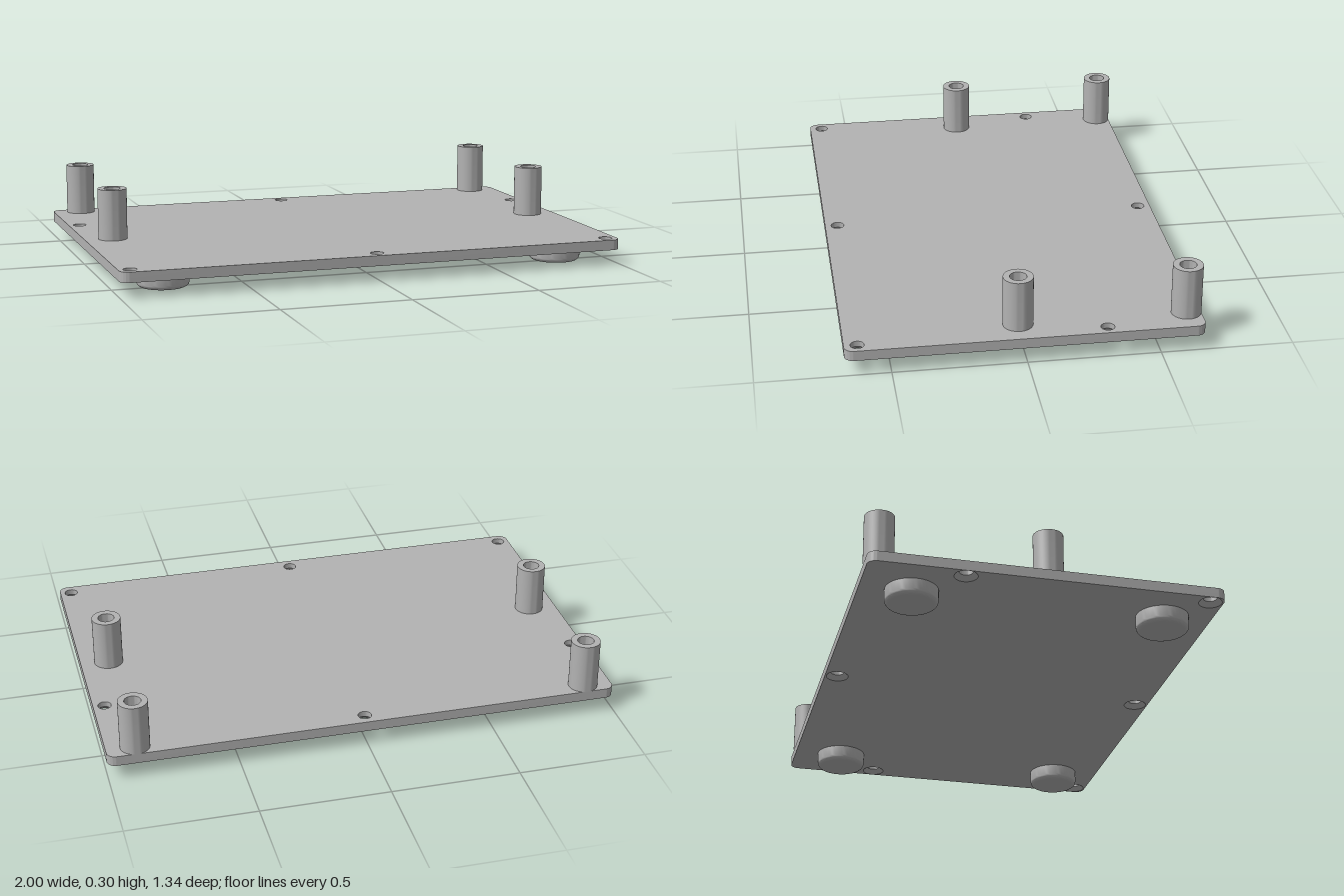
import * as THREE from 'three';
import { toCreasedNormals } from 'three/addons/utils/BufferGeometryUtils.js';

const W = 1, D = 0.67, CORNER = 0.035;      // plate half sizes and corner radius
const BOTTOM = 0.06, TOP = 0.1;             // plate heights
const HOLE = 0.026, SINK = 0.044;           // screw hole and countersink radii
const HOLES = [[0, -0.62], [0, 0.62], [-0.955, -0.305], [0.955, -0.305], [-0.955, 0.62], [0.955, 0.62]];

// Rounded rectangle, counter-clockwise
function outline() {
  const s = new THREE.Shape();
  const x = W - CORNER, y = D - CORNER;
  s.absarc(x, y, CORNER, 0, Math.PI / 2);
  s.absarc(-x, y, CORNER, Math.PI / 2, Math.PI);
  s.absarc(-x, -y, CORNER, Math.PI, Math.PI * 1.5);
  s.absarc(x, -y, CORNER, Math.PI * 1.5, Math.PI * 2);
  s.closePath();
  return s;
}

// Flat plate face with screw holes; up = 1 faces +y, up = -1 faces -y
function plateFace(up, holeRadius) {
  const s = outline();
  for (const [x, z] of HOLES) {
    s.holes.push(new THREE.Path().absarc(x, -up * z, holeRadius, 0, Math.PI * 2, true));
  }
  const g = new THREE.ShapeGeometry(s, 16);
  g.rotateX(-up * Math.PI / 2);
  g.translate(0, up > 0 ? TOP : BOTTOM, 0);
  return g;
}

// Rim of the plate
function plateRim() {
  const pts = outline().getPoints(16);
  const pos = [];
  pts.forEach((p, i) => {
    const q = pts[(i + 1) % pts.length];
    if (p.distanceTo(q) < 1e-6) return;
    pos.push(p.x, BOTTOM, -p.y, q.x, BOTTOM, -q.y, q.x, TOP, -q.y);
    pos.push(p.x, BOTTOM, -p.y, q.x, TOP, -q.y, p.x, TOP, -p.y);
  });
  const g = new THREE.BufferGeometry();
  g.setAttribute('position', new THREE.Float32BufferAttribute(pos, 3));
  return toCreasedNormals(g, 0.5);
}

function lathe(points, segments) {
  const g = new THREE.LatheGeometry(points.map(([r, y]) => new THREE.Vector2(r, y)), segments);
  return toCreasedNormals(g, 0.5);
}

export function createModel() {
  const model = new THREE.Group();
  const grey = new THREE.MeshStandardMaterial({ color: 0xb3b3b3 });
  grey.name = 'grey';

  const add = (name, geometry, parent, x = 0, z = 0) => {
    const m = new THREE.Mesh(geometry, grey);
    m.name = name;
    m.position.set(x, 0, z);
    parent.add(m);
  };

  // Base plate with countersunk screw holes
  const plate = new THREE.Group();
  plate.name = 'basePlate';
  model.add(plate);
  add('plateTop', plateFace(1, HOLE), plate);
  add('plateUnderside', plateFace(-1, SINK), plate);
  add('plateRim', plateRim(), plate);
  const bore = lathe([[HOLE, TOP], [HOLE, BOTTOM + 0.018], [SINK, BOTTOM]], 32);
  for (const [x, z] of HOLES) add('screwHole', bore, plate, x, z);

  // Hollow standoffs
  const standoff = lathe([[0.057, TOP], [0.057, 0.3], [0.032, 0.3], [0.032, TOP]], 40);
  // Round feet with a filleted lower edge
  const profile = [[0, 0]];
  for (let i = 0; i <= 6; i++) {
    const a = i / 6 * Math.PI / 2;
    profile.push([0.08 + 0.02 * Math.sin(a), 0.02 - 0.02 * Math.cos(a)]);
  }
  profile.push([0.1, BOTTOM]);
  const foot = lathe(profile, 48);

  for (const side of [-1, 1]) {
    for (const z of [-0.615, 0.02]) add('standoff', standoff, model, side * 0.888, z);
    for (const z of [-0.475, 0.482]) add('foot', foot, model, side * 0.8, z);
  }
  return model;
}
